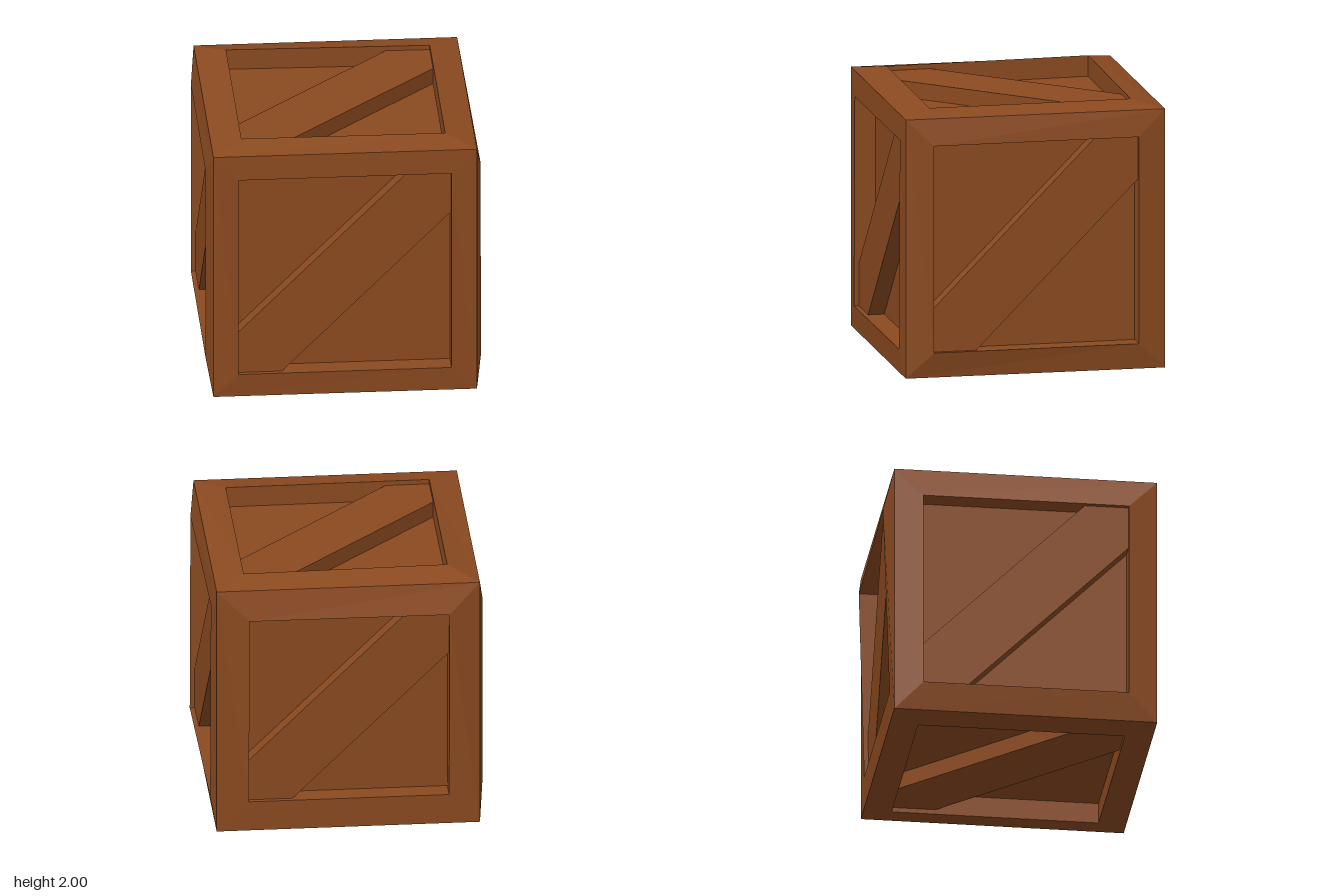
import * as THREE from 'three';

const wood = new THREE.MeshStandardMaterial({ color: 0x8b4a20, flatShading: true });
const PANEL_DEPTH = 0.155, BRACE_DEPTH = 0.12, BRACE_CUT = 0.32;

// Each side: right, up and outward axes, opening [u0, u1, v0, v1],
// and rim heights at the lower left, lower right, upper right and upper left of the opening
const sides = [
  { name: 'front', u: [1, 0, 0], v: [0, 1, 0], n: [0, 0, 1], open: [-0.78, 0.77, -0.79, 0.76], rim: [0.995, 0.99, 0.985, 0.99] },
  { name: 'right', u: [0, 0, -1], v: [0, 1, 0], n: [1, 0, 0], open: [-0.78, 0.74, -0.78, 0.75], rim: [1, 0.985, 0.98, 0.995] },
  { name: 'back', u: [-1, 0, 0], v: [0, 1, 0], n: [0, 0, -1], open: [-0.72, 0.735, -0.74, 0.72], rim: [0.945, 0.947, 0.995, 0.985] },
  { name: 'left', u: [0, 0, 1], v: [0, 1, 0], n: [-1, 0, 0], open: [-0.73, 0.77, -0.76, 0.73], rim: [0.995, 1, 1, 0.995] },
  { name: 'top', u: [1, 0, 0], v: [0, 0, -1], n: [0, 1, 0], open: [-0.74, 0.74, -0.76, 0.73], rim: [0.985, 0.98, 0.985, 1] },
  { name: 'bottom', u: [0, 0, 1], v: [-1, 0, 0], n: [0, -1, 0], open: [-0.74, 0.77, -0.75, 0.75], rim: [0.995, 0.995, 0.995, 0.995] },
];

// Slightly uneven outer corners of the crate, measured from its middle
const crateCorner = (p) => new THREE.Vector3(
  p.x > 0 ? 0.955 : -0.96, p.y > 0 ? 0.945 : -0.97, p.z > 0 ? 0.98 : -0.94);

function quads(list) {
  const pos = [];
  for (const [a, b, c, d] of list)
    for (const p of [a, b, c, a, c, d]) pos.push(p.x, p.y, p.z);
  const g = new THREE.BufferGeometry();
  g.setAttribute('position', new THREE.Float32BufferAttribute(pos, 3));
  g.computeVertexNormals();
  return g;
}

function add(group, name, geometry) {
  const mesh = new THREE.Mesh(geometry, wood);
  mesh.name = name;
  group.add(mesh);
}

function makeSide({ name, u, v, n, open: [u0, u1, v0, v1], rim }) {
  const side = new THREE.Group();
  side.name = name + 'Side';
  const basis = new THREE.Matrix4().makeBasis(
    new THREE.Vector3(...u), new THREE.Vector3(...v), new THREE.Vector3(...n));
  const inverse = basis.clone().invert();

  // Three loops: outer corners, rim of the opening, edge of the sunken panel
  const outer = [[-1, -1], [1, -1], [1, 1], [-1, 1]].map(([a, b]) =>
    crateCorner(new THREE.Vector3(a, b, 1).applyMatrix4(basis)).applyMatrix4(inverse));
  const spots = [[u0, v0], [u1, v0], [u1, v1], [u0, v1]];
  const edge = spots.map(([a, b], i) => new THREE.Vector3(a, b, rim[i]));
  const floor = spots.map(([a, b], i) => new THREE.Vector3(a, b, rim[i] - PANEL_DEPTH));

  // Frame: mitred boards and the walls of the opening
  const boards = [];
  for (let i = 0; i < 4; i++) {
    const j = (i + 1) % 4;
    boards.push([outer[i], outer[j], edge[j], edge[i]], [edge[i], edge[j], floor[j], floor[i]]);
  }
  add(side, name + 'Frame', quads(boards));
  add(side, name + 'Panel', quads([floor]));

  // Diagonal brace, cut to the opening and laid along the tilt of the panel
  const c = BRACE_CUT;
  const shape = new THREE.Shape([
    [u0, v0], [u0 + c, v0], [u1, v1 - c], [u1, v1], [u1 - c, v1], [u0, v0 + c],
  ].map(([a, b]) => new THREE.Vector2(a, b)));
  const brace = new THREE.ExtrudeGeometry(shape, { depth: BRACE_DEPTH, bevelEnabled: false });
  const p = brace.attributes.position;
  for (let i = 0; i < p.count; i++) {
    const s = (p.getX(i) - u0) / (u1 - u0), t = (p.getY(i) - v0) / (v1 - v0);
    const low = THREE.MathUtils.lerp(rim[0], rim[1], s);
    const high = THREE.MathUtils.lerp(rim[3], rim[2], s);
    p.setZ(i, p.getZ(i) + THREE.MathUtils.lerp(low, high, t) - PANEL_DEPTH);
  }
  brace.computeVertexNormals();
  add(side, name + 'Brace', brace);

  side.applyMatrix4(basis);
  side.position.y = 1;
  return side;
}

export function createModel() {
  const crate = new THREE.Group();
  crate.name = 'crate';
  for (const s of sides) crate.add(makeSide(s));
  return crate;
}
